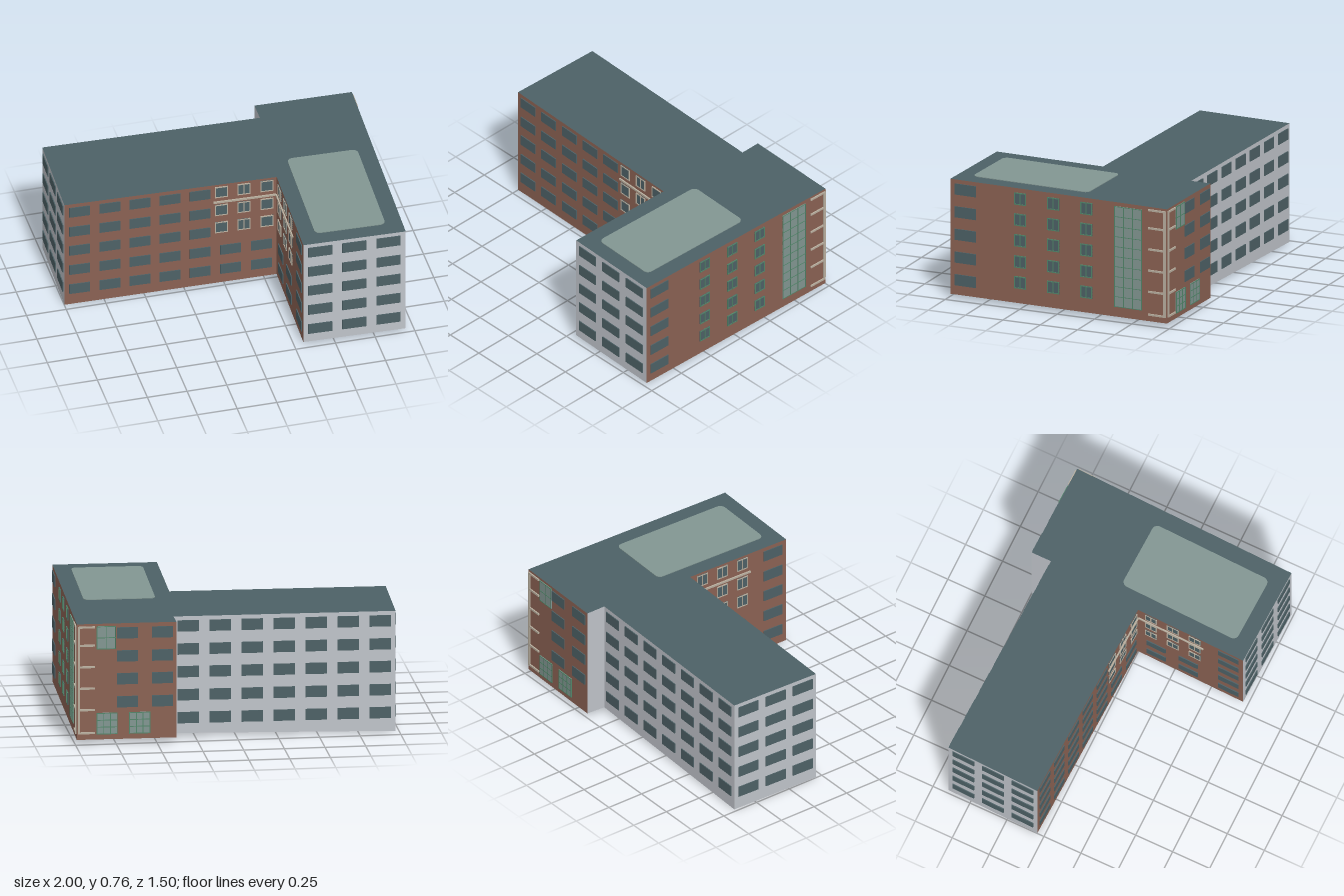
import * as THREE from 'three';

const mat = (name, color, side = THREE.FrontSide) => {
  const m = new THREE.MeshStandardMaterial({ color, side });
  m.name = name;
  return m;
};

export function createModel() {
  const brick = mat('brick', 0x8b6253);
  const plaster = mat('pale plaster', 0xc0c4ca);
  const slate = mat('slate roof and dark glass', 0x4d6166);
  const glass = mat('pale glass', 0x829692);
  const green = mat('green frame', 0x52866a);
  const cream = mat('cream trim', 0xb9af9f);

  const model = new THREE.Group();
  model.name = 'building';
  const TOP = 0.755;
  const ROWS = [0.118, 0.262, 0.407, 0.55, 0.695];

  // footprint corners: x, z, height of the wall foot
  const A = [-0.98, -0.655, 0], B = [0.38, -0.615, 0.022], C = [0.38, -0.745, 0.028];
  const D = [0.99, -0.73, 0.028], E = [0.945, 0.74, 0.023], F = [0.305, 0.72, 0.023];
  const G = [0.325, 0, 0.022], H = [-1, -0.045, 0.003];
  const ring = [H, G, F, E, D, C, B, A];

  const add = (parent, name, geometry, material) => {
    const m = new THREE.Mesh(geometry, material);
    m.name = name;
    parent.add(m);
    return m;
  };

  // plate lying on a wall, given by its extents along and up the wall
  const plate = (wall, name, u0, u1, y0, y1, material, depth = 0.006) => {
    const m = add(wall, name, new THREE.BoxGeometry(u1 - u0, y1 - y0, depth), material);
    m.position.set((u0 + u1) / 2, (y0 + y1) / 2, depth / 2);
  };

  // glazed opening with a grid of thin bars
  const framed = (wall, name, u0, u1, y0, y1, cols, rows, pane, bar, t = 0.006) => {
    const g = new THREE.Group();
    g.name = name;
    wall.add(g);
    plate(g, 'pane', u0, u1, y0, y1, pane, 0.004);
    for (let i = 0; i <= cols; i++) {
      const u = u0 + t / 2 + (u1 - u0 - t) * i / cols;
      plate(g, 'uprightBar', u - t / 2, u + t / 2, y0, y1, bar, 0.007);
    }
    for (let j = 0; j <= rows; j++) {
      const y = y0 + t / 2 + (y1 - y0 - t) * j / rows;
      plate(g, 'crossBar', u0, u1, y - t / 2, y + t / 2, bar, 0.0065);
    }
  };

  const plainWindows = (wall, starts, width, rows = ROWS) => {
    for (const y of rows) for (const u of starts)
      plate(wall, 'window', u, u + width, y - 0.035, y + 0.035, slate);
  };
  const series = (n, start, step) => Array.from({ length: n }, (_, i) => start + i * step);

  // wall standing on the footprint, local x running rightward seen from outside
  const makeWall = (name, a, b, material) => {
    const wall = new THREE.Group();
    wall.name = name;
    const dx = b[0] - a[0], dz = b[1] - a[1], len = Math.hypot(dx, dz);
    wall.position.set(a[0], 0, a[1]);
    wall.rotation.y = Math.atan2(-dz, dx);
    const face = new THREE.Shape([[0, a[2]], [len, b[2]], [len, TOP], [0, TOP]]
      .map(p => new THREE.Vector2(...p)));
    add(wall, 'wallFace', new THREE.ShapeGeometry(face), material);
    model.add(wall);
    return wall;
  };

  // front of the long wing
  const longFront = makeWall('longWingFront', H, G, brick);
  plainWindows(longFront, series(5, 0.03, 0.188), 0.13);
  plainWindows(longFront, [0.973, 1.165], 0.13, ROWS.slice(0, 2));
  for (const y of [0.395, 0.525, 0.66]) {
    [0.94, 1.08, 1.225].forEach((u, i) =>
      framed(longFront, 'framedWindow', u, u + 0.08, y, y + 0.08, i === 1 ? 2 : 1, 1, slate, cream));
  }
  plate(longFront, 'ledge', 0.93, 1.32, 0.62, 0.632, cream, 0.009);

  // courtyard side of the short wing
  const court = makeWall('courtyardWall', G, F, brick);
  plainWindows(court, [0.55], 0.14);
  plainWindows(court, [0.06, 0.28], 0.13, ROWS.slice(0, 2));
  for (const y of [0.395, 0.525, 0.66]) for (const u of [0.05, 0.2, 0.35])
    framed(court, 'framedWindow', u, u + 0.08, y, y + 0.08, 2, 1, slate, cream);
  plate(court, 'ledge', 0.005, 0.45, 0.62, 0.632, cream, 0.009);

  // front of the short wing
  const shortFront = makeWall('shortWingFront', F, E, plaster);
  plainWindows(shortFront, series(3, 0.03, 0.213), 0.15);

  // long brick side with the stair glazing
  const side = makeWall('sideWall', E, D, brick);
  plainWindows(side, [0.03], 0.145);
  for (const y of [0.118, 0.25, 0.385, 0.517, 0.65]) for (const u of [0.435, 0.66, 0.885])
    framed(side, 'pairedWindow', u, u + 0.08, y, y + 0.077, 2, 1, slate, green);
  framed(side, 'stairGlazing', 1.115, 1.302, 0.09, 0.73, 3, 10, glass, green, 0.004);

  // rear of the short wing
  const rear = makeWall('shortWingRear', D, C, brick);
  plainWindows(rear, [0.245, 0.46], 0.13, ROWS.slice(1));
  framed(rear, 'tallRearWindow', 0.12, 0.24, 0.595, 0.74, 2, 2, glass, green, 0.005);
  for (const u of [0.12, 0.32])
    framed(rear, 'lowRearWindow', u, u + 0.13, 0.06, 0.195, 3, 3, glass, green, 0.005);

  // cream trim wrapping the rear corner
  for (const y of [0.07, 0.215, 0.35, 0.485, 0.62, 0.735]) {
    plate(side, 'cornerBand', 1.345, 1.455, y - 0.006, y + 0.006, cream, 0.008);
    plate(rear, 'cornerBand', 0.012, 0.11, y - 0.006, y + 0.006, cream, 0.008);
  }
  plate(side, 'cornerPost', 1.45, 1.464, 0.065, 0.74, cream, 0.009);
  plate(rear, 'cornerPost', 0.006, 0.02, 0.065, 0.74, cream, 0.009);

  // plaster faces of the long wing
  makeWall('rearStep', C, B, plaster);
  const longRear = makeWall('longWingRear', B, A, plaster);
  plainWindows(longRear, series(7, 0.025, 0.196), 0.13);
  const end = makeWall('longWingEnd', A, H, plaster);
  plainWindows(end, series(3, 0.03, 0.203), 0.148);

  // roof and underside over the whole footprint
  const tris = THREE.ShapeUtils.triangulateShape(ring.map(p => new THREE.Vector2(p[0], -p[1])), []);
  const slab = (name, heightOf, flip, material) => {
    const pos = [];
    for (const [i, j, k] of tris) {
      const p = [ring[i], ring[j], ring[k]];
      const cross = (p[1][0] - p[0][0]) * (p[2][1] - p[0][1]) - (p[1][1] - p[0][1]) * (p[2][0] - p[0][0]);
      if ((cross > 0) !== flip) p.reverse();
      for (const c of p) pos.push(c[0], heightOf(c), c[1]);
    }
    const geo = new THREE.BufferGeometry();
    geo.setAttribute('position', new THREE.Float32BufferAttribute(pos, 3));
    geo.computeVertexNormals();
    add(model, name, geo, material);
  };
  slab('roof', () => TOP, false, slate);
  slab('underside', c => c[2], true, plaster);

  // rounded skylight panel on the roof
  const w = 0.22, h = 0.393, r = 0.035;
  const s = new THREE.Shape();
  s.absarc(w - r, h - r, r, 0, Math.PI / 2);
  s.absarc(r - w, h - r, r, Math.PI / 2, Math.PI);
  s.absarc(r - w, r - h, r, Math.PI, Math.PI * 1.5);
  s.absarc(w - r, r - h, r, Math.PI * 1.5, Math.PI * 2);
  const panelGeo = new THREE.ExtrudeGeometry(s, { depth: 0.004, bevelEnabled: false, curveSegments: 6 });
  panelGeo.rotateX(-Math.PI / 2);
  const panel = add(model, 'roofPanel', panelGeo, glass);
  panel.position.set(0.638, TOP, 0.238);
  panel.rotation.y = -0.032;

  return model;
}
